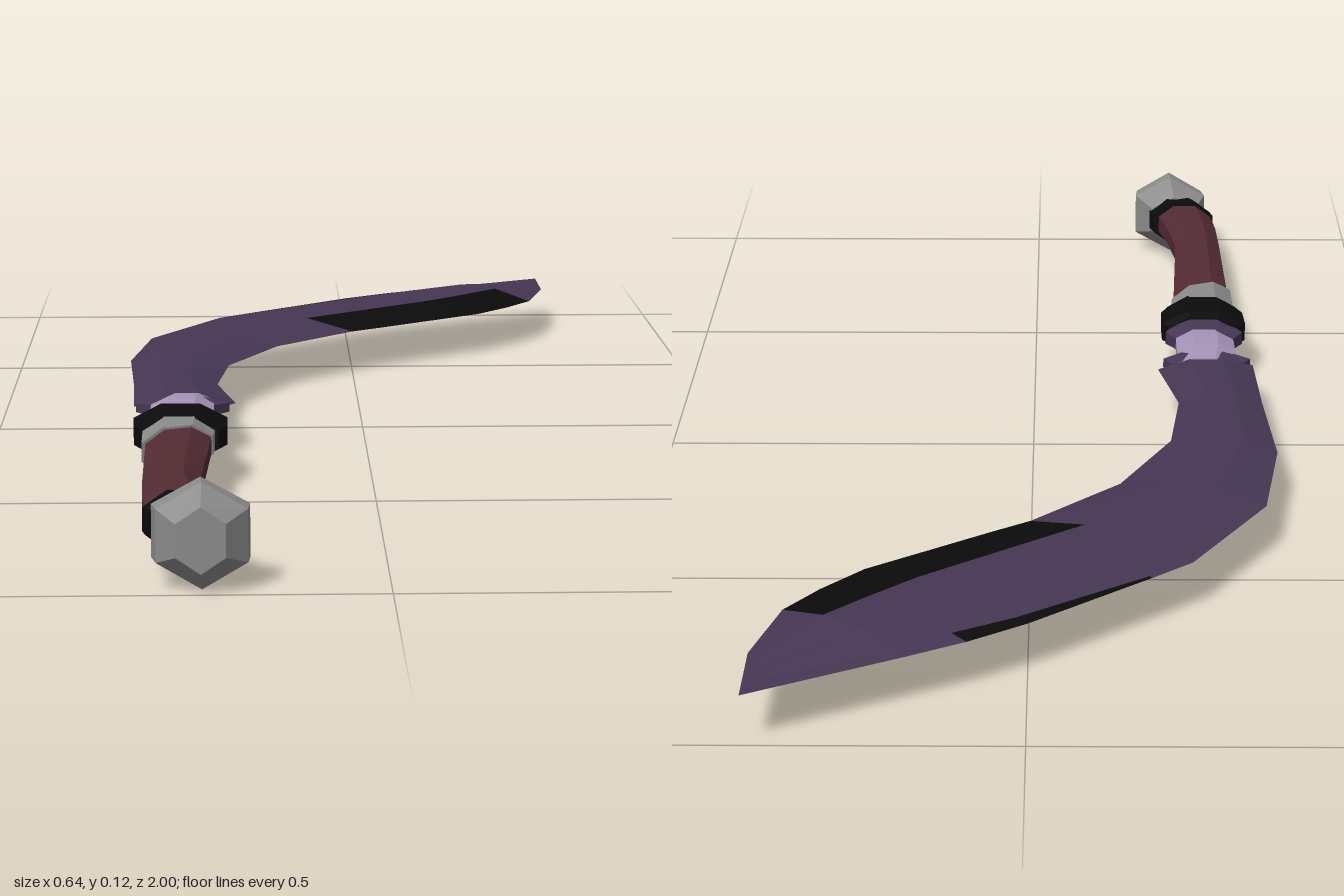
import * as THREE from 'three';

const MID = 0.062; // height of the weapon's centre plane

const mat = (name, color) => {
  const m = new THREE.MeshStandardMaterial({ color, flatShading: true });
  m.name = name;
  return m;
};

function meshFrom(name, triangles, material) {
  const g = new THREE.BufferGeometry();
  g.setAttribute('position', new THREE.Float32BufferAttribute(triangles.flat(2), 3));
  g.computeVertexNormals();
  const mesh = new THREE.Mesh(g, material);
  mesh.name = name;
  return mesh;
}

// Closed loft along z; each section is [z, left x, right x, half height, slant]
function loft(name, sections, sides, material, turn = Math.PI / sides) {
  const rings = sections.map(([z, x0, x1, h, slant = 0]) => {
    const ring = [];
    for (let j = 0; j < sides; j++) {
      const a = turn + (j / sides) * Math.PI * 2;
      const c = Math.cos(a);
      ring.push([(x0 + x1) / 2 + ((x1 - x0) / 2) * c, MID + h * Math.sin(a), z - slant * c]);
    }
    return ring;
  });
  const centre = ([z, x0, x1]) => [(x0 + x1) / 2, MID, z];
  const tris = [];
  const last = rings.length - 1;
  for (let j = 0; j < sides; j++) {
    const k = (j + 1) % sides;
    for (let i = 0; i < last; i++) {
      const a = rings[i][j], b = rings[i][k], c = rings[i + 1][k], d = rings[i + 1][j];
      tris.push([a, b, c], [a, c, d]);
    }
    tris.push([centre(sections[0]), rings[0][k], rings[0][j]]);
    tris.push([centre(sections[last]), rings[last][j], rings[last][k]]);
  }
  return meshFrom(name, tris, material);
}

// Blade stations: [outer x, z, inner x, z, half thickness, width of outer edge strip]
function buildBlade(steel, dark) {
  const T = 0.0135;
  const stations = [
    [-0.31, 0.165, -0.175, 0.145, T, 0.04],
    [-0.315, 0, -0.2, 0, T, 0.04],
    [-0.325, -0.2, -0.185, -0.155, T, 0.04],
    [-0.3, -0.4, -0.115, -0.32, T, 0.04],
    [-0.2, -0.595, 0, -0.455, T, 0.03],
    [-0.15, -0.645, 0.05, -0.495, T, 0.02],
    [0, -0.79, 0.2, -0.62, T, 0.07],
    [0.07, -0.845, 0.25, -0.685, T, 0.1],
    [0.14, -0.89, 0.29, -0.75, T, 0.06],
    [0.32, -1, 0.32, -0.88, 0, 0.06],
  ];
  const section = ([x0, z0, x1, z1, h, strip], sign) =>
    [0, strip, 0.32, 0.66, 1].map((f) => [
      x0 + (x1 - x0) * f,
      MID + sign * h * Math.min(1, f / 0.32, (1 - f) / 0.34),
      z0 + (z1 - z0) * f,
    ]);
  const plain = [], black = [];
  for (const sign of [1, -1]) {
    const rows = stations.map((s) => section(s, sign));
    for (let i = 0; i < rows.length - 1; i++) {
      for (let j = 0; j < 4; j++) {
        const a = rows[i][j], b = rows[i][j + 1], c = rows[i + 1][j + 1], d = rows[i + 1][j];
        const isDark = (j === 3 && i >= 4 && i <= 7) || (j === 0 && (i === 5 || i === 6));
        const list = isDark ? black : plain;
        if (sign > 0) list.push([a, b, c], [a, c, d]);
        else list.push([a, c, b], [a, d, c]);
      }
    }
  }
  // Base cap
  const top = section(stations[0], 1), low = section(stations[0], -1);
  for (let j = 0; j < 4; j++) {
    plain.push([low[j], low[j + 1], top[j + 1]], [low[j], top[j + 1], top[j]]);
  }
  const blade = new THREE.Group();
  blade.name = 'blade';
  blade.add(meshFrom('bladeBody', plain, steel), meshFrom('darkEdges', black, dark));
  return blade;
}

export function createModel() {
  const purple = mat('dark purple steel', 0x463754);
  const lilac = mat('pale lilac', 0xa594b8);
  const black = mat('black', 0x0b0b0b);
  const red = mat('dark red leather', 0x542c34);
  const grey = mat('grey metal', 0x8c8c8c);

  const model = new THREE.Group();
  model.name = 'curvedBlade';
  model.add(buildBlade(purple, black));

  // Neck with flared collars at both ends
  model.add(loft('neck', [
    [0.15, -0.28, -0.2, 0.016],
    [0.2, -0.29, -0.2, 0.022],
    [0.25, -0.29, -0.2, 0.022],
    [0.32, -0.28, -0.2, 0.018],
  ], 8, lilac));
  model.add(loft('frontCollar', [
    [0.155, -0.3, -0.19, 0.014],
    [0.175, -0.312, -0.178, 0.016],
    [0.2, -0.285, -0.205, 0.016],
  ], 8, purple));
  model.add(loft('rearCollar', [
    [0.25, -0.285, -0.205, 0.018],
    [0.29, -0.305, -0.185, 0.024],
    [0.32, -0.29, -0.2, 0.026],
  ], 8, purple));

  // Guard, ferrule and grip
  model.add(loft('guard', [
    [0.305, -0.3, -0.19, 0.028],
    [0.32, -0.311, -0.18, 0.034],
    [0.37, -0.309, -0.18, 0.034],
    [0.405, -0.298, -0.192, 0.03],
  ], 8, black));
  model.add(loft('ferrule', [
    [0.39, -0.296, -0.196, 0.031],
    [0.465, -0.295, -0.199, 0.031, 0.025],
  ], 8, grey));
  model.add(loft('grip', [
    [0.4, -0.291, -0.2, 0.028],
    [0.55, -0.289, -0.206, 0.028],
    [0.72, -0.287, -0.213, 0.029],
    [0.82, -0.285, -0.202, 0.031],
    [0.9, -0.277, -0.187, 0.033],
  ], 8, red));

  // Pommel and its collar
  model.add(loft('pommelCollar', [
    [0.882, -0.284, -0.182, 0.036],
    [0.9, -0.28, -0.178, 0.038],
    [0.918, -0.272, -0.174, 0.036],
  ], 8, black));
  model.add(loft('pommel', [
    [0.905, -0.258, -0.178, 0.038],
    [0.942, -0.277, -0.149, 0.061],
    [0.972, -0.271, -0.152, 0.061],
    [1, -0.245, -0.18, 0.038],
  ], 6, grey, Math.PI / 6));

  return model;
}
